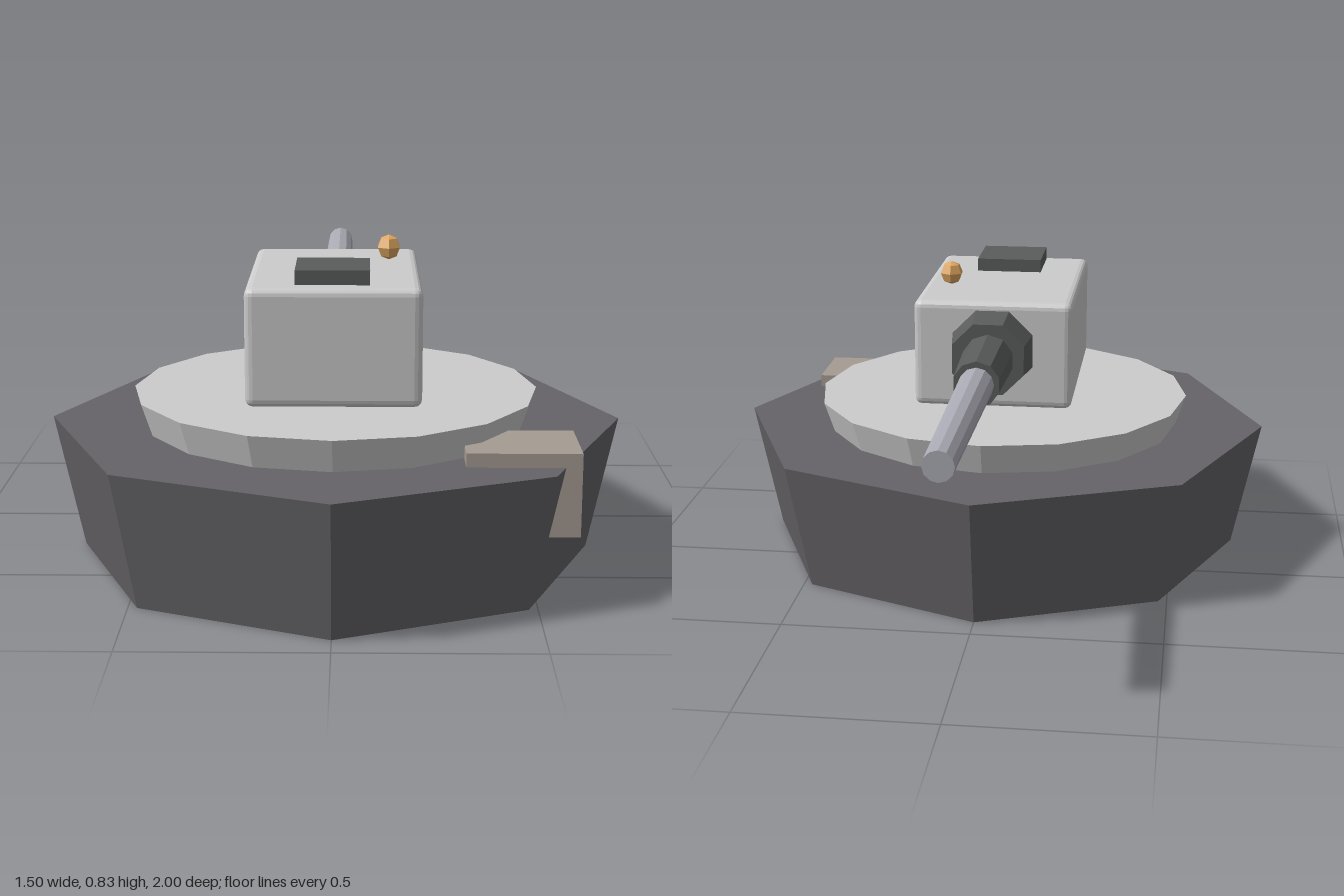
import * as THREE from 'three';
import { RoundedBoxGeometry } from 'three/addons/geometries/RoundedBoxGeometry.js';

export function createModel() {
  const group = new THREE.Group();
  const material = (color) => new THREE.MeshStandardMaterial({ color, flatShading: true });
  const grey = material(0xcccccc);
  const dark = material(0x656367);
  const darkSteel = material(0x5a5c5c);
  const steel = material(0xaaaab4);
  const stone = material(0xa59b93);
  const brass = material(0xe0a862);

  function add(name, geometry, mat, x, y, z) {
    const mesh = new THREE.Mesh(geometry, mat);
    mesh.name = name;
    mesh.position.set(x, y, z);
    group.add(mesh);
    return mesh;
  }

  // Octagonal base and the round platform on it
  const centreZ = 0.25;
  add('base', new THREE.CylinderGeometry(0.75, 0.675, 0.355, 8), dark, 0, 0.1775, centreZ);
  add('platform', new THREE.CylinderGeometry(0.53, 0.49, 0.12, 16), grey, 0, 0.38, centreZ);

  // Block set into the rim of the base
  add('rimBlock', new THREE.BoxGeometry(0.28, 0.21, 0.21), stone, 0.46, 0.285, 0.605);

  // Turret housing with hatch and small ball on the roof
  add('turret', new RoundedBoxGeometry(0.436, 0.298, 0.605, 2, 0.02), grey, 0, 0.616, 0.283);
  add('hatch', new THREE.BoxGeometry(0.184, 0.036, 0.184), darkSteel, -0.003, 0.785, 0.452);
  add('roofBall', new THREE.SphereGeometry(0.033, 6, 4), brass, 0.14, 0.801, 0.178).rotation.y = Math.PI / 2;

  // Gun sections along -z: name, start z, end z, start radius, end radius, sides, material
  const sections = [
    ['mantlet', 0.02, -0.12, 0.125, 0.105, 8, darkSteel, Math.PI / 8],
    ['sleeve', -0.1, -0.357, 0.071, 0.062, 10, darkSteel, 0],
    ['barrel', -0.34, -1, 0.046, 0.038, 12, steel, 0],
  ];
  for (const [name, z0, z1, r0, r1, sides, mat, turn] of sections) {
    const geometry = new THREE.CylinderGeometry(r1, r0, z0 - z1, sides);
    geometry.rotateY(turn).rotateX(-Math.PI / 2);
    add(name, geometry, mat, 0, 0.631, (z0 + z1) / 2);
  }

  return group;
}
